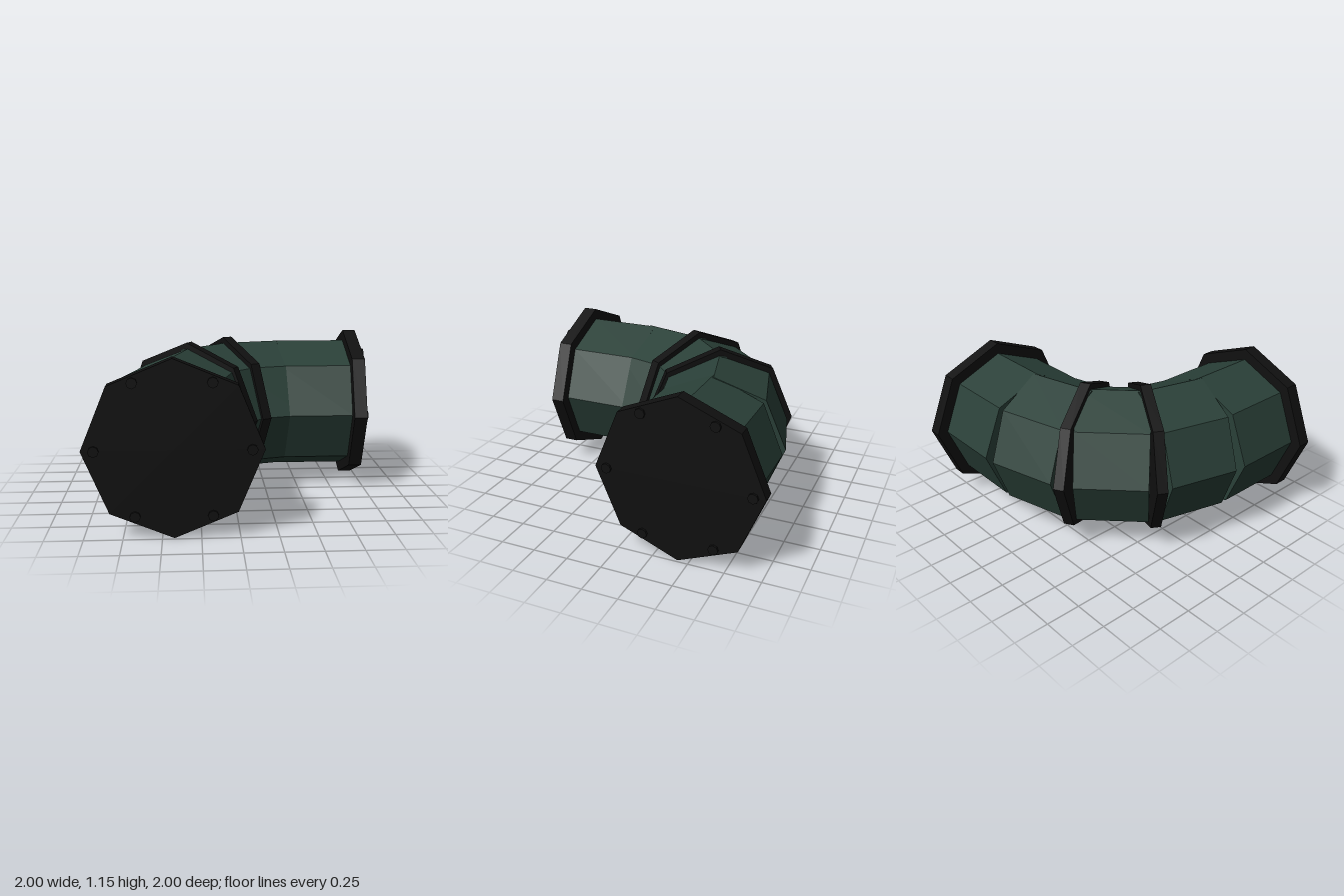
import * as THREE from 'three';

const AXIS_Y = 0.5775; // height of the pipe centre line
const BEND = -0.4225;  // sideways offset of each straight end

export function createModel() {
  const group = new THREE.Group();
  const green = new THREE.MeshStandardMaterial({ color: 0x2a4038, flatShading: true });
  green.name = 'dark green paint';
  const black = new THREE.MeshStandardMaterial({ color: 0x101010, flatShading: true });
  black.name = 'black metal';

  // Octagonal drum lying in the ground plane, its axis turned by deg from +z
  function drum(name, material, radius, length, x, z, deg, y = AXIS_Y) {
    const geometry = new THREE.CylinderGeometry(radius, radius, length, 8);
    geometry.rotateX(Math.PI / 2);
    const mesh = new THREE.Mesh(geometry, material);
    mesh.name = name;
    mesh.position.set(x, y, z);
    mesh.rotation.y = THREE.MathUtils.degToRad(deg);
    group.add(mesh);
  }

  // Same drum on both arms of the elbow, mirrored across the diagonal
  function pair(name, material, radius, length, x, z, deg, y) {
    drum(name + 'Front', material, radius, length, x, z, deg, y);
    drum(name + 'Side', material, radius, length, z, x, 90 - deg, y);
  }

  // Pipe sections
  pair('straightPipe', green, 0.497, 0.52, BEND, 0.63, 0);
  pair('bendSection', green, 0.497, 0.508, -0.372, 0.168, -15);
  drum('middleSection', green, 0.497, 0.508, -0.174, -0.174, -45);

  // Joint rings and end flanges
  pair('jointRing', black, 0.542, 0.075, -0.318, -0.026, -30);
  pair('endFlange', black, 0.5775, 0.095, BEND, 0.937, 0);

  // Six bolts around each flange
  for (let i = 0; i < 6; i++) {
    const a = (i * Math.PI) / 3;
    pair('bolt' + (i + 1), black, 0.035, 0.04,
      BEND + 0.495 * Math.cos(a), 0.98, 0, AXIS_Y + 0.495 * Math.sin(a));
  }
  return group;
}
